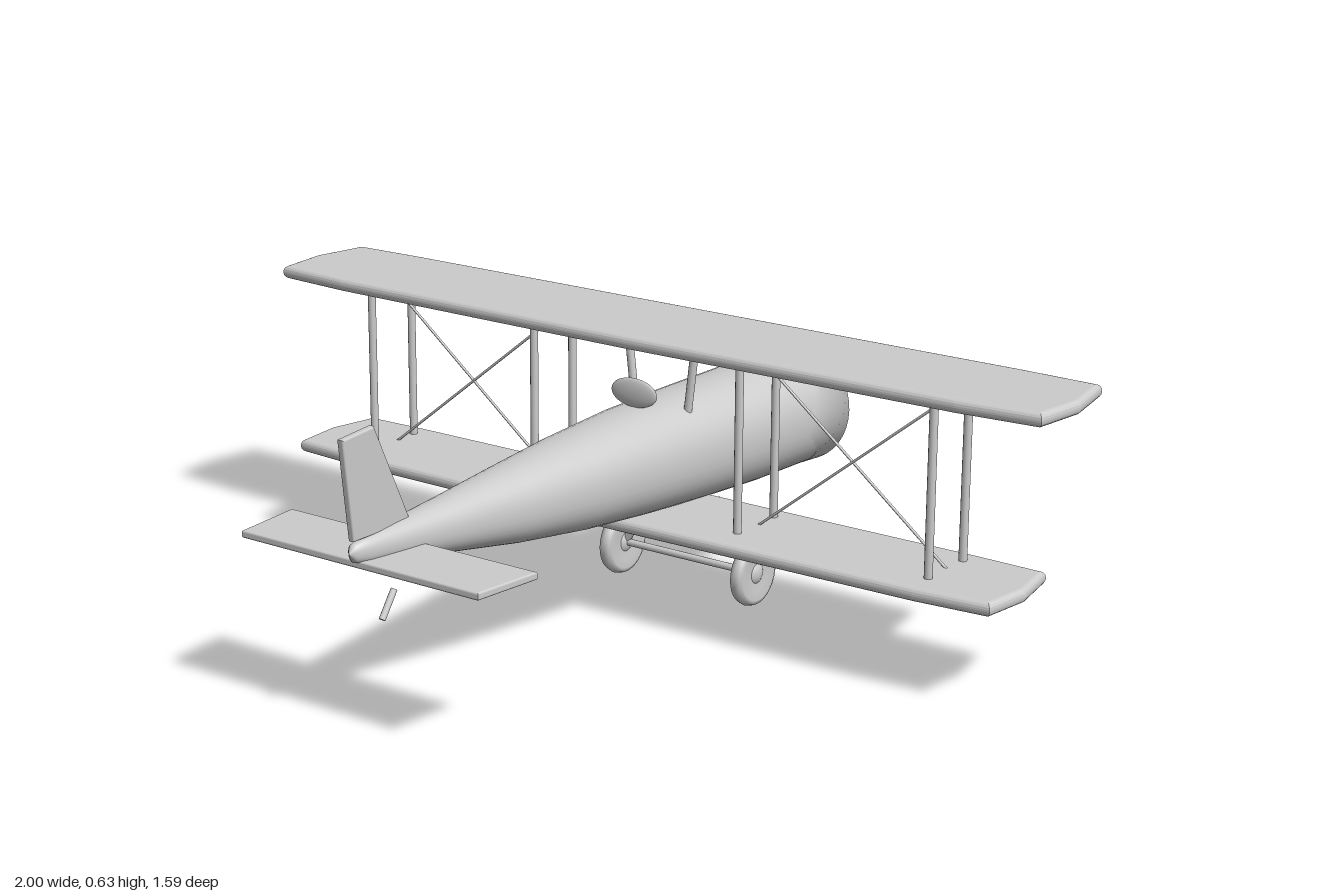
import * as THREE from 'three';

const grey = new THREE.MeshStandardMaterial({ color: 0xcccccc });
grey.name = 'plainGrey';

export function createModel() {
  const model = new THREE.Group();
  model.name = 'biplane';

  const add = (name, geometry, x = 0, y = 0, z = 0) => {
    const mesh = new THREE.Mesh(geometry, grey);
    mesh.name = name;
    mesh.position.set(x, y, z);
    model.add(mesh);
    return mesh;
  };

  // Round bar between two points
  const bar = (name, a, b, radius, sides = 12) => {
    const p = new THREE.Vector3(...a), q = new THREE.Vector3(...b);
    const mesh = add(name, new THREE.CylinderGeometry(radius, radius, p.distanceTo(q), sides));
    mesh.position.copy(p).add(q).multiplyScalar(0.5);
    mesh.quaternion.setFromUnitVectors(new THREE.Vector3(0, 1, 0), q.sub(p).normalize());
    return mesh;
  };

  // Flat plate with rounded rim, outline given in plan
  const plate = (points, thickness, rim) => {
    const shape = new THREE.Shape(points.map(([x, y]) => new THREE.Vector2(x, y)));
    const depth = thickness - 2 * rim;
    const g = new THREE.ExtrudeGeometry(shape, {
      depth, bevelThickness: rim, bevelSize: rim, bevelOffset: -rim, bevelSegments: 4,
    });
    return g.translate(0, 0, -depth / 2);
  };
  const mirrored = (half) => [...half, ...half.slice().reverse().map(([x, z]) => [-x, z])];

  // Fuselage: z, half width, top, bottom
  const sections = [
    [-0.72, 0.13, 0.467, 0.202], [-0.5, 0.13, 0.467, 0.208], [-0.3, 0.126, 0.468, 0.22],
    [-0.1, 0.118, 0.466, 0.235], [0.1, 0.103, 0.457, 0.254], [0.3, 0.08, 0.443, 0.281],
    [0.5, 0.053, 0.428, 0.316], [0.65, 0.034, 0.418, 0.342], [0.73, 0.022, 0.411, 0.355],
    [0.765, 0.013, 0.404, 0.366], [0.777, 0.001, 0.387, 0.385],
  ];
  const around = 40, positions = [], indices = [];
  const soften = (v) => Math.sign(v) * Math.abs(v) ** (2 / 2.2);
  sections.forEach(([z, w, top, bottom], k) => {
    for (let i = 0; i < around; i++) {
      const t = (i / around) * Math.PI * 2;
      positions.push(w * soften(Math.cos(t)),
        (top + bottom) / 2 + ((top - bottom) / 2) * soften(Math.sin(t)), z);
      if (k === sections.length - 1) continue;
      const a = k * around + i, b = k * around + ((i + 1) % around);
      indices.push(a, b, a + around, b, b + around, a + around);
    }
  });
  const body = new THREE.BufferGeometry();
  body.setAttribute('position', new THREE.Float32BufferAttribute(positions, 3));
  body.setIndex(indices);
  body.computeVertexNormals();
  add('fuselage', body);

  // Engine cowl and spinner, nose towards -z
  const cowl = [[0.131, 0.625], [0.14, 0.762], [0, 0.762]].map(([r, h]) => new THREE.Vector2(r, h));
  add('cowl', new THREE.LatheGeometry(cowl, 40).rotateX(-Math.PI / 2), 0, 0.335, 0);
  add('spinner', new THREE.SphereGeometry(0.035, 24, 16), 0, 0.337, -0.762);

  // Wings
  const wingHalf = [[0.8, -0.377], [0.975, -0.372], [1, -0.24], [0.985, -0.112], [0.8, -0.098], [0, -0.088]];
  const upper = mirrored(wingHalf.slice(0, 5));
  upper.splice(5, 0, [0, -0.088]);
  const lower = upper.map(([x, z]) => [x * 0.925, -0.184 + (z + 0.232) * 0.925]);
  add('upperWing', plate(upper, 0.03, 0.013).rotateX(Math.PI / 2), 0, 0.616, 0);
  add('lowerWing', plate(lower, 0.03, 0.013).rotateX(Math.PI / 2), 0, 0.224, 0);

  // Struts, wires and landing gear on both sides
  for (const s of [-1, 1]) {
    for (const x of [0.27, 0.735])
      for (const z of [-0.132, -0.267])
        bar('wingStrut', [s * x, 0.225, z], [s * x, 0.615, z], 0.009);
    bar('braceWire', [s * 0.27, 0.235, -0.207], [s * 0.735, 0.605, -0.207], 0.003, 6);
    bar('braceWire', [s * 0.27, 0.605, -0.207], [s * 0.735, 0.235, -0.207], 0.003, 6);
    bar('cabaneStrut', [s * 0.07, 0.445, -0.23], [s * 0.09, 0.61, -0.23], 0.009);
    bar('gearLeg', [s * 0.075, 0.225, -0.33], [s * 0.168, 0.08, -0.33], 0.01);

    const tyre = [[0, -0.01], [0.04, -0.012], [0.06, -0.016], [0.07, -0.012], [0.074, 0],
      [0.07, 0.012], [0.06, 0.016], [0.04, 0.012], [0, 0.01]].map(([r, h]) => new THREE.Vector2(r, h));
    add('wheel', new THREE.LatheGeometry(tyre, 32).rotateZ(Math.PI / 2), s * 0.177, 0.075, -0.33);
    add('wheelHub', new THREE.SphereGeometry(0.028, 20, 12).scale(0.65, 1, 1), s * 0.177, 0.075, -0.33);
  }
  bar('axle', [-0.175, 0.075, -0.33], [0.175, 0.075, -0.33], 0.008);

  // Windscreen disc ahead of the cockpit
  add('windscreen', new THREE.SphereGeometry(1, 28, 16).scale(0.06, 0.032, 0.009), 0, 0.497, -0.132);

  // Tail surfaces and skid
  const tailplane = mirrored([[0.315, 0.597], [0.3, 0.757]]);
  add('tailplane', plate(tailplane, 0.016, 0.004).rotateX(Math.PI / 2), 0, 0.36, 0);
  const fin = [[0.605, 0.41], [0.705, 0.625], [0.795, 0.618], [0.77, 0.41]].map(([z, y]) => [-z, y]);
  add('fin', plate(fin, 0.016, 0.004).rotateY(Math.PI / 2));
  bar('tailSkid', [0, 0.28, 0.65], [0, 0.227, 0.687], 0.007);

  return model;
}
